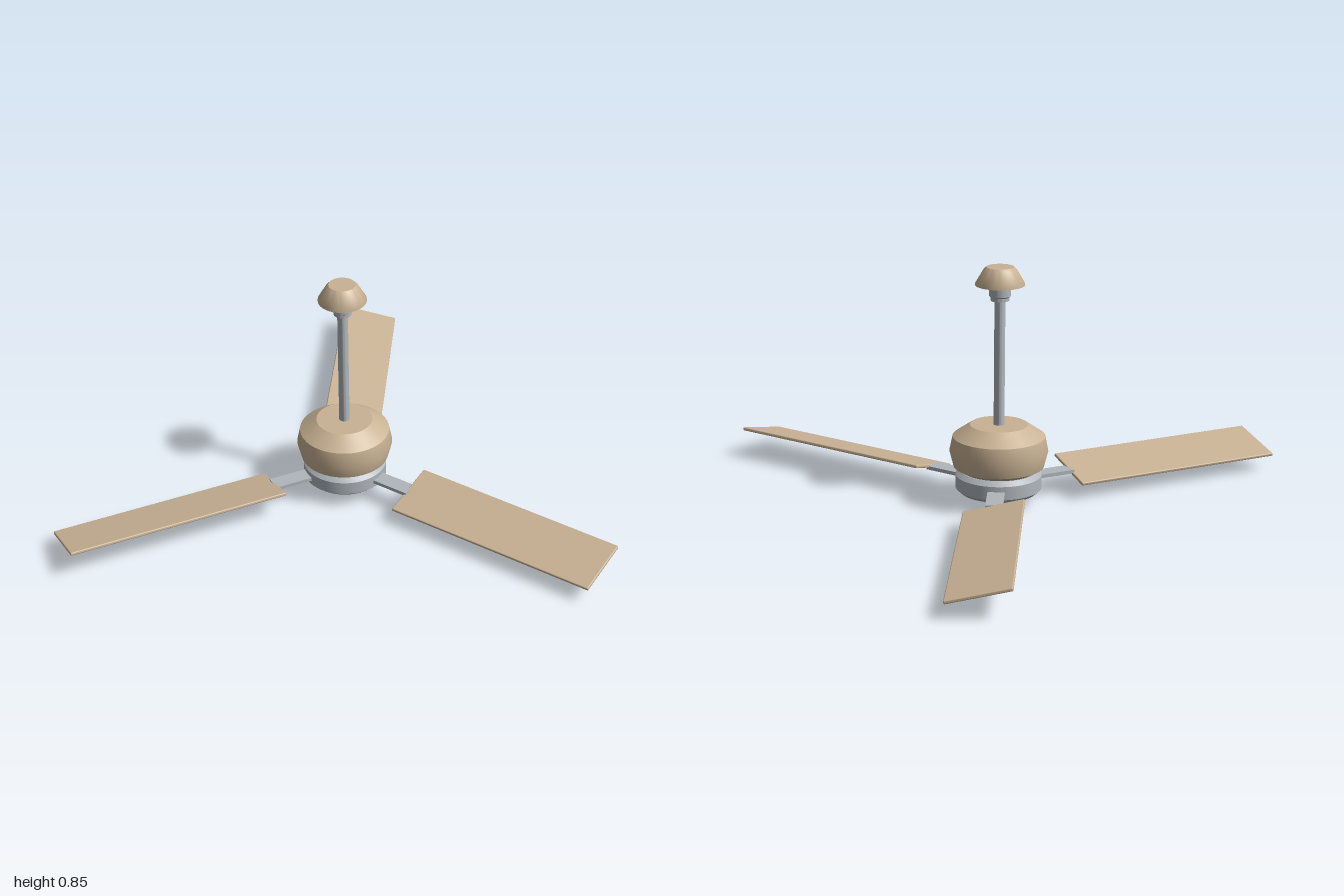
import * as THREE from 'three';
import { toCreasedNormals } from 'three/addons/utils/BufferGeometryUtils.js';
import { RoundedBoxGeometry } from 'three/addons/geometries/RoundedBoxGeometry.js';

function makeMaterial(name, color) {
  const material = new THREE.MeshStandardMaterial({ color });
  material.name = name;
  return material;
}

export function createModel() {
  const tan = makeMaterial('tan', 0xc9b294);
  const metal = makeMaterial('greyMetal', 0xb0b6bb);
  const dark = makeMaterial('darkBrown', 0x2c1c1c);

  const model = new THREE.Group();
  model.name = 'ceilingFan';
  const fan = new THREE.Group();
  fan.name = 'fan';
  fan.position.x = -0.23; // the hub sits off centre, one blade points to +x
  model.add(fan);

  // Turned part: profile of [radius, y] from bottom to top
  function turned(name, material, profile) {
    const points = profile.map(([r, y]) => new THREE.Vector2(r, y));
    const geometry = toCreasedNormals(new THREE.LatheGeometry(points, 48), 0.55);
    const mesh = new THREE.Mesh(geometry, material);
    mesh.name = name;
    fan.add(mesh);
  }

  // Central column, from the bottom up
  turned('bottomCap', dark, [[0, 0], [0.046, 0], [0.051, 0.006], [0.051, 0.047], [0, 0.047]]);
  turned('bladeHub', metal, [[0, 0.045], [0.135, 0.045], [0.152, 0.06], [0.152, 0.108], [0.135, 0.123], [0, 0.123]]);
  turned('motorHousing', tan, [[0, 0.12], [0.125, 0.12], [0.16, 0.14], [0.174, 0.195], [0.163, 0.248], [0.102, 0.29], [0, 0.29]]);
  turned('downRod', metal, [[0.019, 0.28], [0.019, 0.75]]);
  turned('rodCoupler', metal, [[0, 0.735], [0.032, 0.735], [0.032, 0.747], [0.038, 0.752], [0.038, 0.785], [0.033, 0.793], [0, 0.793]]);
  turned('ceilingCanopy', tan, [[0, 0.79], [0.086, 0.79], [0.086, 0.796], [0.058, 0.844], [0.048, 0.854], [0, 0.854]]);

  // Three pitched blades on flat brackets
  const bracketGeometry = new THREE.BoxGeometry(0.19, 0.013, 0.06);
  const bladeGeometry = new RoundedBoxGeometry(0.81, 0.012, 0.217, 2, 0.004);
  for (let i = 0; i < 3; i++) {
    const arm = new THREE.Group();
    arm.name = 'bladeArm' + (i + 1);
    arm.position.y = 0.083;
    arm.rotation.y = (i * Math.PI * 2) / 3;

    const bracket = new THREE.Mesh(bracketGeometry, metal);
    bracket.name = 'bracket';
    bracket.position.x = 0.195;

    const blade = new THREE.Mesh(bladeGeometry, tan);
    blade.name = 'blade';
    blade.position.x = 0.685;
    blade.rotation.x = 0.235;

    arm.add(bracket, blade);
    fan.add(arm);
  }
  return model;
}
